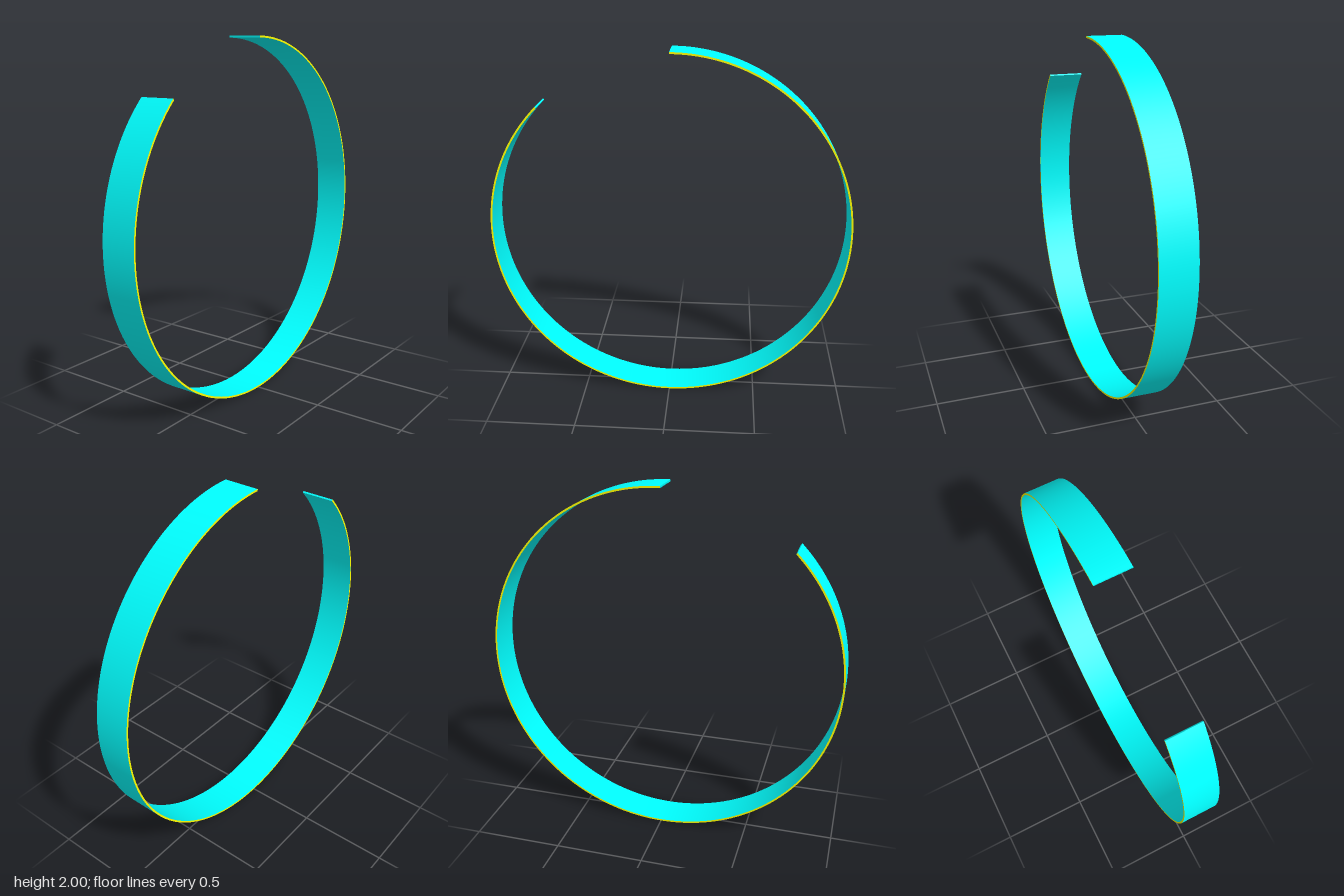
import * as THREE from 'three';
import { toCreasedNormals } from 'three/addons/utils/BufferGeometryUtils.js';

export function createModel() {
  const group = new THREE.Group();
  group.name = 'openRing';

  const outer = 1, inner = 0.99, width = 0.2;
  const start = Math.PI * 0.75, end = Math.PI * 2.5; // gap at the upper left

  // Thin band outline: outer arc, then back along the inner arc
  const outline = new THREE.Shape();
  outline.absarc(0, 0, outer, start, end, false);
  outline.absarc(0, 0, inner, end, start, true);
  outline.closePath();

  const extruded = new THREE.ExtrudeGeometry(outline, {
    depth: width, bevelEnabled: false, curveSegments: 112,
  });
  extruded.translate(0, outer, -width / 2);

  // Yellow rims on the front and back, cyan inner and outer faces
  const rim = new THREE.MeshStandardMaterial({ color: 0xffff00 });
  const face = new THREE.MeshStandardMaterial({ color: 0x00ffff });
  const band = new THREE.Mesh(toCreasedNormals(extruded, 0.6), [rim, face]);
  band.name = 'band';
  group.add(band);

  return group;
}
